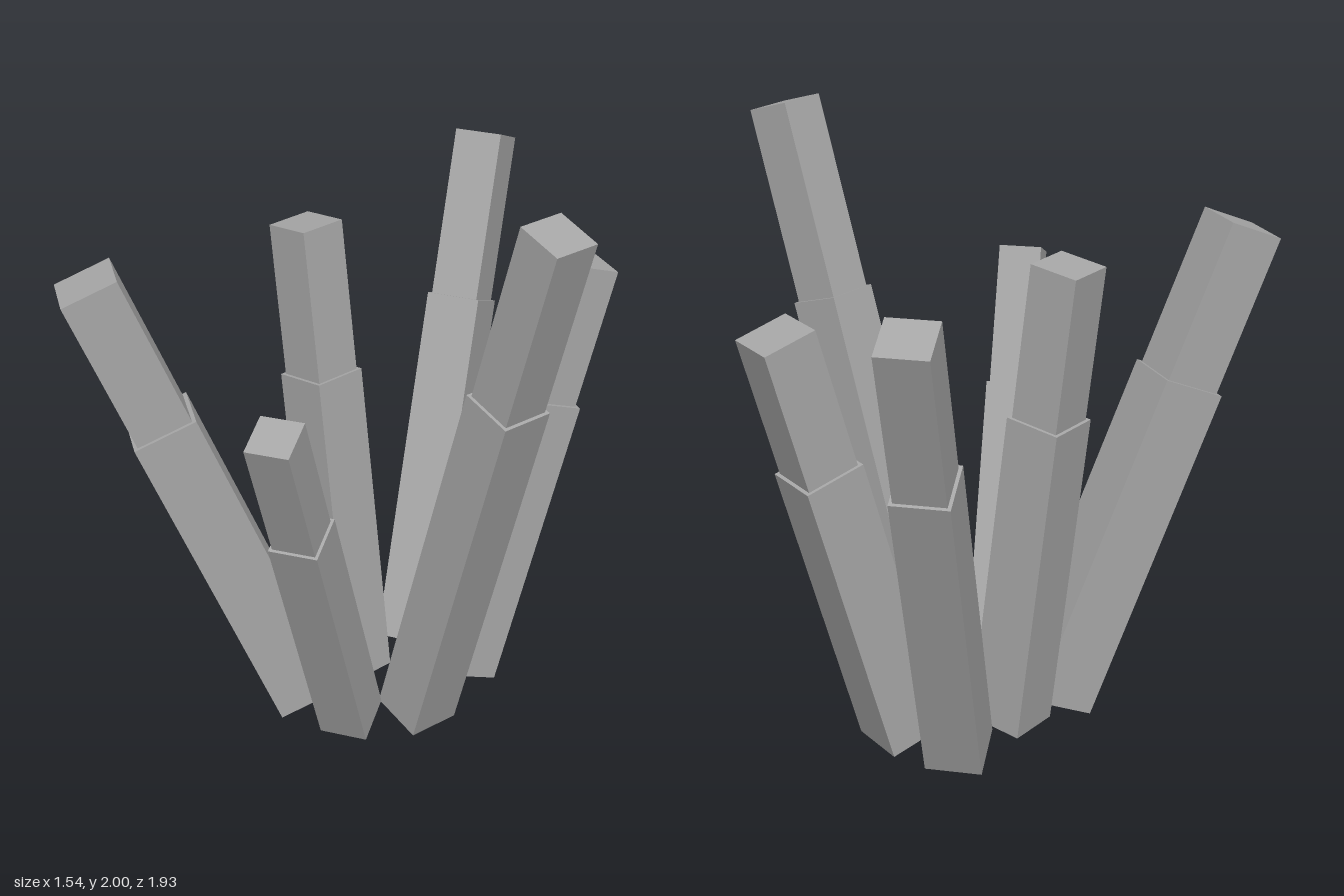
import * as THREE from 'three';

const BASE_Y = 0.043; // height of every base centre
const SPLIT = 0.68;   // share of the length taken by the thick lower part
const TAPER = 0.88;   // upper width relative to lower width

// [name, base x, base z, tip x, tip y, tip z, lower width]
const COLUMNS = [
  ['backRightColumn', -0.303, -0.255, -0.66, 1.70, -0.858, 0.187],
  ['backColumn', -0.073, -0.276, 0.036, 1.502, -0.704, 0.207],
  ['leftColumn', 0.07, 0.01, 0.689, 1.977, -0.026, 0.185],
  ['frontLeftColumn', -0.027, 0.215, 0.289, 1.39, 0.712, 0.163],
  ['frontRightColumn', -0.268, 0.235, -0.543, 1.628, 0.84, 0.219],
  ['rightColumn', -0.278, 0.026, -0.474, 1.655, 0.048, 0.19],
];

export function createModel() {
  const model = new THREE.Group();
  model.name = 'columnCluster';
  const stone = new THREE.MeshStandardMaterial({ color: 0xa6a6a6 });
  stone.name = 'grey stone';

  // square block standing on local height y
  const block = (name, width, length, y) => {
    const mesh = new THREE.Mesh(new THREE.BoxGeometry(width, length, width), stone);
    mesh.name = name;
    mesh.position.y = y + length / 2;
    return mesh;
  };

  for (const [name, bx, bz, tx, ty, tz, width] of COLUMNS) {
    const base = new THREE.Vector3(bx, BASE_Y, bz);
    const axis = new THREE.Vector3(tx, ty, tz).sub(base);
    const length = axis.length();
    axis.normalize();

    // one pair of sides stays square to the direction of the lean
    const side = new THREE.Vector3(0, 1, 0).cross(axis).normalize();
    const front = side.clone().cross(axis);

    const column = new THREE.Group();
    column.name = name;
    column.position.copy(base);
    column.quaternion.setFromRotationMatrix(new THREE.Matrix4().makeBasis(side, axis, front));
    column.add(
      block('lowerBlock', width, length * SPLIT, 0),
      block('upperBlock', width * TAPER, length * (1 - SPLIT), length * SPLIT),
    );
    model.add(column);
  }
  return model;
}
